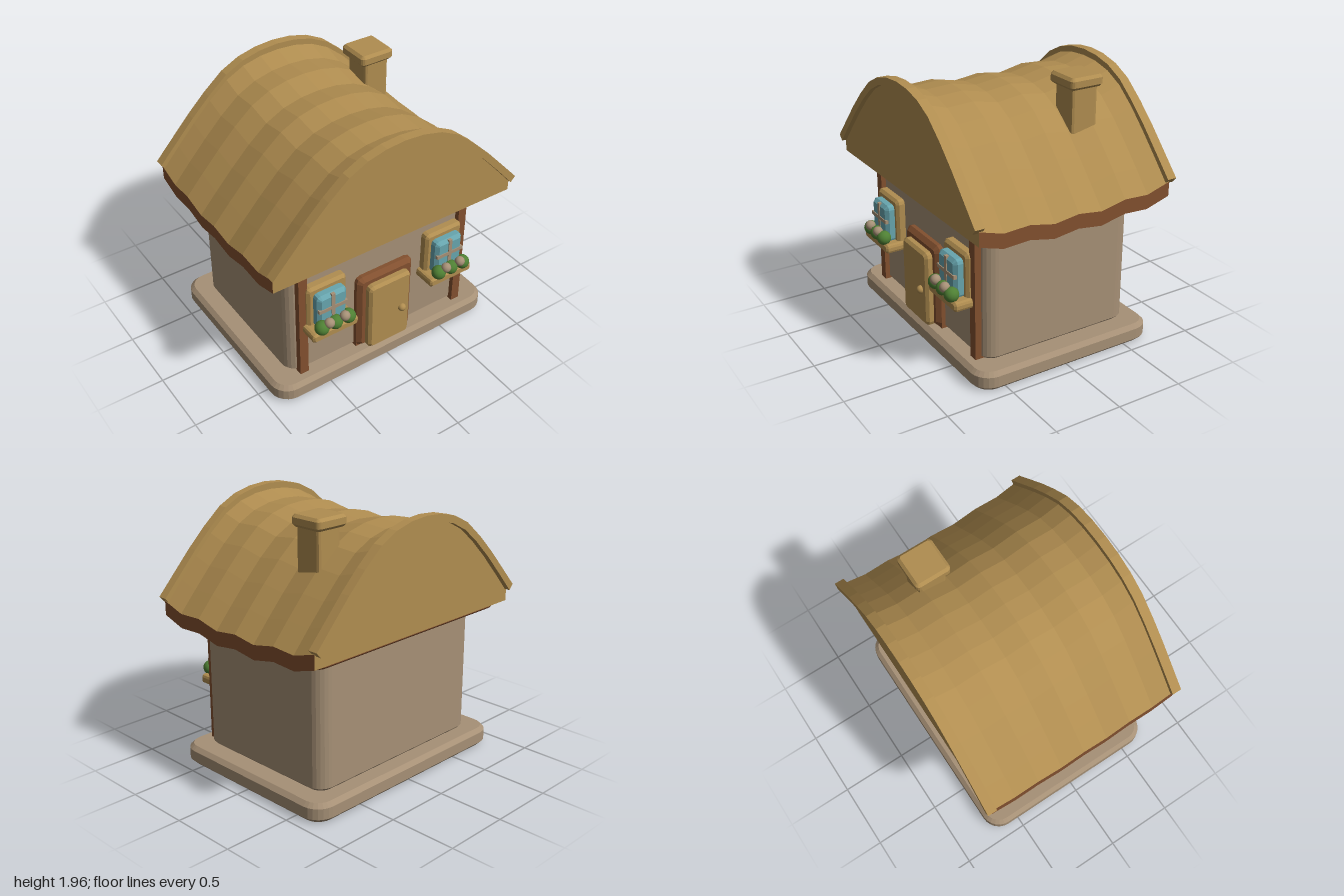
import * as THREE from 'three';

const mat = (name, color, side = THREE.FrontSide) => {
  const m = new THREE.MeshStandardMaterial({ color, side });
  m.name = name;
  return m;
};

// Box with rounded corners and one-step bevels, given by its min and max corners.
// axis 'y': rounded in plan; axis 'z': rounded as seen from the front.
function roundedBlock([x0, y0, z0], [x1, y1, z1], radius, bevel, axis = 'z', segments = 1) {
  const w = x1 - x0;
  const h = axis === 'y' ? z1 - z0 : y1 - y0;
  const d = axis === 'y' ? y1 - y0 : z1 - z0;
  const a = w / 2 - bevel, b = h / 2 - bevel, r = Math.max(radius - bevel, 0.002);
  const s = new THREE.Shape();
  s.moveTo(-a + r, -b);
  s.absarc(a - r, -b + r, r, -Math.PI / 2, 0);
  s.absarc(a - r, b - r, r, 0, Math.PI / 2);
  s.absarc(-a + r, b - r, r, Math.PI / 2, Math.PI);
  s.absarc(-a + r, -b + r, r, Math.PI, Math.PI * 1.5);
  const g = new THREE.ExtrudeGeometry(s, {
    depth: d - 2 * bevel, bevelEnabled: true, bevelThickness: bevel, bevelSize: bevel,
    bevelSegments: 1, curveSegments: segments,
  });
  g.translate(0, 0, bevel - d / 2);
  if (axis === 'y') g.rotateX(-Math.PI / 2);
  return g.translate((x0 + x1) / 2, (y0 + y1) / 2, (z0 + z1) / 2);
}

function box([x0, y0, z0], [x1, y1, z1]) {
  return new THREE.BoxGeometry(x1 - x0, y1 - y0, z1 - z0)
    .translate((x0 + x1) / 2, (y0 + y1) / 2, (z0 + z1) / 2);
}

const mirrored = (half) => [...half.slice(1).reverse().map(([x, y]) => [-x, y]), ...half];
const toShape = (points) => new THREE.Shape(points.map(([x, y]) => new THREE.Vector2(x, y)));

// Flat-shaded sheet through rows of points
function sheet(rows) {
  const p = [];
  for (let i = 0; i < rows.length - 1; i++) {
    for (let j = 0; j < rows[i].length - 1; j++) {
      const a = rows[i][j], b = rows[i][j + 1], c = rows[i + 1][j + 1], d = rows[i + 1][j];
      p.push(...a, ...d, ...b, ...b, ...d, ...c);
    }
  }
  const g = new THREE.BufferGeometry();
  g.setAttribute('position', new THREE.Float32BufferAttribute(p, 3));
  g.computeVertexNormals();
  return g;
}

export function createModel() {
  const model = new THREE.Group();
  model.name = 'cottage';
  const straw = mat('straw', 0xb08d50);
  const strawSheet = mat('strawSheet', 0xb08d50, THREE.DoubleSide);
  const stone = mat('stone', 0xa69076);
  const wood = mat('wood', 0x82502f);
  const woodSheet = mat('woodSheet', 0x82502f, THREE.DoubleSide);
  const glass = mat('glass', 0x67a5ae);
  const leaf = mat('leaf', 0x4f8034);

  const add = (name, geometry, material, parent = model) => {
    const m = new THREE.Mesh(geometry, material);
    m.name = name;
    parent.add(m);
    return m;
  };
  const ball = (name, r, x, y, z, material, parent) =>
    add(name, new THREE.SphereGeometry(r, 16, 12), material, parent).position.set(x, y, z);

  // Plinth, walls and eaves board
  add('plinth', roundedBlock([-0.93, 0, -0.73], [0.93, 0.14, 0.705], 0.14, 0.03, 'y', 3), stone);
  add('walls', roundedBlock([-0.783, 0.135, -0.605], [0.783, 1.12, 0.585], 0.11, 0.025, 'y', 3), stone);
  add('eavesBoard', roundedBlock([-0.95, 1.09, -0.725], [0.95, 1.15, 0.705], 0.12, 0.015, 'y', 3), wood);

  // Wavy thatched roof
  const arch = mirrored([[0, 1.9], [0.145, 1.89], [0.29, 1.855], [0.43, 1.785], [0.575, 1.665],
    [0.715, 1.525], [0.85, 1.38], [0.98, 1.235]]);
  const waves = [[0.745, 0], [0.565, -0.055], [0.37, -0.045], [0.18, -0.085], [-0.01, -0.06],
    [-0.195, -0.085], [-0.385, -0.045], [-0.575, -0.055], [-0.76, 0]];
  add('thatch', sheet(waves.map(([z, dy]) => arch.map(([x, y]) => [-x, y + dy, z]))), strawSheet);
  for (const side of [-1, 1]) {
    add('eavesFascia', sheet([1.235, 1.13].map((y) =>
      waves.map(([z, dy]) => [side * 0.98, y + dy, z]))), woodSheet);
  }

  // Gable ends and the arched trims over them
  const gable = toShape([...arch, [0.98, 1.13], [-0.98, 1.13]]);
  const outer = mirrored([[0, 1.937], [0.145, 1.926], [0.29, 1.89], [0.43, 1.82], [0.58, 1.695],
    [0.72, 1.56], [0.865, 1.405], [1, 1.26]]);
  const inner = mirrored([[0, 1.885], [0.14, 1.875], [0.275, 1.84], [0.41, 1.77], [0.545, 1.66],
    [0.685, 1.525], [0.83, 1.37], [0.965, 1.22]]);
  const band = toShape([...outer, ...inner.reverse()]);
  for (const [z, trimZ] of [[0.745, 0.713], [-0.76, -0.802]]) {
    add('gable', new THREE.ShapeGeometry(gable).translate(0, 0, z), strawSheet);
    add('gableTrim', new THREE.ExtrudeGeometry(band, { depth: 0.07, bevelEnabled: false })
      .translate(0, 0, trimZ), straw);
  }

  // Chimney
  add('chimneyShaft', roundedBlock([0.4, 1.45, -0.415], [0.6, 1.9, -0.205], 0.025, 0.015, 'y'), straw);
  add('chimneyCap', roundedBlock([0.358, 1.87, -0.445], [0.63, 1.955, -0.18], 0.035, 0.02, 'y', 2), straw);

  // Door with its surround and knob
  add('doorSurround', roundedBlock([-0.237, 0.14, 0.55], [0.237, 0.78, 0.645], 0.05, 0.03), wood);
  for (const side of [-1, 1]) {
    add('doorSurroundFoot', box([side * 0.2 - 0.037, 0.14, 0.55], [side * 0.2 + 0.037, 0.2, 0.615]), wood);
  }
  add('door', roundedBlock([-0.178, 0.145, 0.6], [0.178, 0.72, 0.7], 0.04, 0.02), straw);
  ball('doorKnob', 0.03, 0.1, 0.42, 0.705, straw);

  // Corner posts and planted windows
  for (const side of [-1, 1]) {
    add('cornerPost', box([side * 0.683 - 0.034, 0.14, 0.55], [side * 0.683 + 0.034, 1.1, 0.622]), wood);

    const win = new THREE.Group();
    win.name = side > 0 ? 'leftWindow' : 'rightWindow';
    win.position.x = side * 0.503;
    model.add(win);
    add('windowFrame', roundedBlock([-0.16, 0.56, 0.56], [0.16, 0.915, 0.65], 0.035, 0.02), straw, win);
    add('windowPane', roundedBlock([-0.118, 0.58, 0.6], [0.118, 0.868, 0.718], 0.035, 0.025), glass, win);
    add('uprightBar', box([-0.014, 0.585, 0.7], [0.014, 0.865, 0.724]), stone, win);
    add('crossBar', box([-0.115, 0.735, 0.7], [0.115, 0.762, 0.724]), stone, win);
    add('flowerBox', roundedBlock([-0.186, 0.525, 0.57], [0.186, 0.595, 0.757], 0.025, 0.014), straw, win);
    for (const x of [-0.108, 0, 0.108]) ball('leaves', 0.053, x, 0.63, 0.74, leaf, win);
    for (const x of [-0.063, 0.063]) ball('flower', 0.037, x, 0.67, 0.765, stone, win);
  }
  return model;
}
